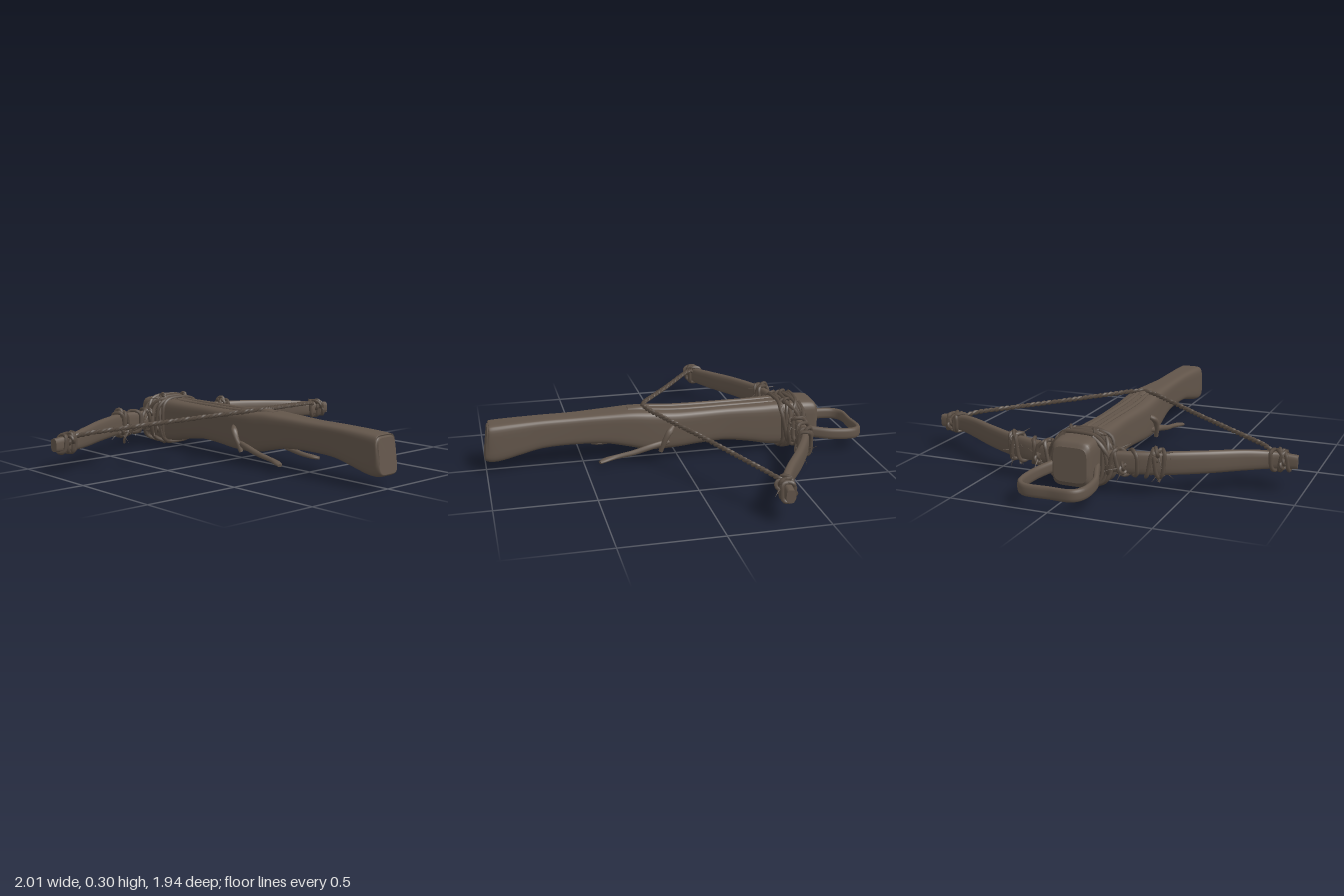
import * as THREE from 'three';
import { mergeGeometries } from 'three/addons/utils/BufferGeometryUtils.js';

const V = (x, y, z) => new THREE.Vector3(x, y, z);
const UP = V(0, 1, 0);

// Sweep a rounded-box section along stations [x, y, z, halfWidth, halfHeight]
function sweep(stations, { power = 1, steps = 48, sides = 16, closed = false } = {}) {
  const path = new THREE.CatmullRomCurve3(stations.map(s => V(s[0], s[1], s[2])), closed);
  const size = new THREE.CatmullRomCurve3(stations.map(s => V(s[3], s[4], 0)), closed, 'catmullrom', 0.5);
  const pos = [], idx = [];
  const curl = v => Math.sign(v) * Math.abs(v) ** power;
  for (let i = 0; i <= steps; i++) {
    const t = i / steps, p = path.getPoint(t), s = size.getPoint(t), T = path.getTangent(t);
    const side = T.clone().cross(UP).normalize(), up = side.clone().cross(T);
    for (let j = 0; j < sides; j++) {
      const a = (j + 0.5) / sides * Math.PI * 2;
      const q = p.clone().addScaledVector(side, s.x * curl(Math.cos(a))).addScaledVector(up, s.y * curl(Math.sin(a)));
      pos.push(q.x, q.y, q.z);
    }
  }
  for (let i = 0; i < steps; i++) for (let j = 0; j < sides; j++) {
    const k = (j + 1) % sides, a = i * sides + j, b = i * sides + k;
    idx.push(a, a + sides, b, b, a + sides, b + sides);
  }
  if (!closed) for (const end of [0, 1]) {
    const base = pos.length / 3, c = path.getPoint(end), from = end * steps * sides;
    for (let j = 0; j < sides; j++) pos.push(...pos.slice((from + j) * 3, (from + j) * 3 + 3));
    pos.push(c.x, c.y, c.z);
    for (let j = 0; j < sides; j++) {
      const k = (j + 1) % sides;
      idx.push(base + sides, base + (end ? k : j), base + (end ? j : k));
    }
  }
  const g = new THREE.BufferGeometry();
  g.setAttribute('position', new THREE.Float32BufferAttribute(pos, 3));
  g.setIndex(idx);
  g.computeVertexNormals();
  return g;
}

// Closed rope loop round a rounded-box section, skewed along its axis
function loop(center, axis, w, h, skew, r, phase = 0) {
  const side = axis.clone().cross(UP).normalize(), up = side.clone().cross(axis);
  const pts = [];
  for (let i = 0; i < 16; i++) {
    const a = i / 16 * Math.PI * 2, c = Math.cos(a), s = Math.sin(a);
    pts.push(center.clone().addScaledVector(side, w * Math.sign(c) * Math.abs(c) ** 0.55)
      .addScaledVector(up, h * Math.sign(s) * Math.abs(s) ** 0.55)
      .addScaledVector(axis, skew * Math.sin(a + phase)));
  }
  return new THREE.TubeGeometry(new THREE.CatmullRomCurve3(pts, true), 48, r, 6, true);
}

// Two strands twisted about a path
function twisted(points, r, turns) {
  const path = new THREE.CatmullRomCurve3(points, false, 'catmullrom', 0.1);
  return [0, Math.PI].map(ph => {
    const pts = [];
    for (let i = 0; i <= turns * 6; i++) {
      const t = i / (turns * 6), T = path.getTangentAt(t), a = t * turns * Math.PI * 2 + ph;
      const side = T.clone().cross(UP).normalize(), up = side.clone().cross(T);
      pts.push(path.getPointAt(t).addScaledVector(side, r * 0.7 * Math.cos(a)).addScaledVector(up, r * 0.7 * Math.sin(a)));
    }
    return new THREE.TubeGeometry(new THREE.CatmullRomCurve3(pts), turns * 10, r, 5);
  });
}

let seed = 7;
const rnd = () => (seed = (seed * 16807) % 2147483647) / 2147483647;

// Knot with frayed ends sticking out
function knot(c, size, frays) {
  const parts = [new THREE.TorusKnotGeometry(size, size * 0.45, 40, 6, 2, 3).translate(c.x, c.y, c.z)];
  for (let i = 0; i < frays; i++) {
    const len = 0.05 + rnd() * 0.045;
    const dir = V(rnd() - 0.5, rnd() * 0.9 - 0.6, rnd() - 0.5).normalize();
    const q = new THREE.Quaternion().setFromUnitVectors(UP, dir);
    parts.push(new THREE.ConeGeometry(0.006, len, 5).translate(0, len / 2, 0).applyQuaternion(q).translate(c.x, c.y, c.z));
  }
  return parts;
}

export function createModel() {
  const group = new THREE.Group();
  const wood = new THREE.MeshStandardMaterial({ color: 0x62554a });
  wood.name = 'weathered wood';
  const rope = new THREE.MeshStandardMaterial({ color: 0x574b41 });
  rope.name = 'dark rope';
  const add = (name, geo, mat) => {
    const m = new THREE.Mesh(Array.isArray(geo) ? mergeGeometries(geo) : geo, mat);
    m.name = name;
    group.add(m);
  };

  // Stock: [x, bottom, top, half width]
  const profile = [
    [-0.76, 0.065, 0.235, 0.085], [-0.74, 0.04, 0.26, 0.1], [-0.66, 0.03, 0.268, 0.105], [-0.5, 0.035, 0.265, 0.098],
    [-0.4, 0.055, 0.262, 0.092], [-0.25, 0.075, 0.26, 0.085], [-0.1, 0.07, 0.26, 0.09], [0.02, 0.06, 0.262, 0.094],
    [0.15, 0.06, 0.272, 0.094], [0.25, 0.082, 0.277, 0.086], [0.38, 0.108, 0.272, 0.074], [0.55, 0.115, 0.266, 0.064],
    [0.72, 0.108, 0.265, 0.064], [0.85, 0.08, 0.262, 0.069], [0.94, 0.06, 0.258, 0.072], [0.98, 0.06, 0.253, 0.07],
    [0.995, 0.075, 0.242, 0.06]];
  add('stock', sweep(profile.map(([x, b, t, w]) => [x, (b + t) / 2, 0, w, (t - b) / 2]),
    { power: 0.38, steps: 96, sides: 32 }), wood);

  // Bolt rails and string catch on the top
  add('boltRails', [-1, 1].map(s => sweep([[-0.54, 0.263, s * 0.03, 0.012, 0.006], [-0.3, 0.261, s * 0.028, 0.014, 0.009],
    [0, 0.262, s * 0.03, 0.014, 0.009], [0.17, 0.273, s * 0.026, 0.011, 0.008]], { steps: 24, sides: 8 })), wood);
  add('stringCatch', sweep([[0.13, 0.265, 0, 0.02, 0.008], [0.18, 0.272, 0, 0.032, 0.015], [0.26, 0.275, 0, 0.022, 0.006]],
    { steps: 16, sides: 10 }), wood);

  // Foot stirrup: flat bent bar
  const bar = [[-0.66, 0.115, -0.1], [-0.73, 0.108, -0.135], [-0.82, 0.1, -0.163], [-0.94, 0.094, -0.163], [-0.982, 0.091, -0.125],
    [-0.984, 0.09, 0], [-0.982, 0.091, 0.115], [-0.94, 0.094, 0.152], [-0.82, 0.1, 0.154], [-0.74, 0.108, 0.125], [-0.66, 0.115, 0.095]];
  add('stirrup', sweep(bar.map(p => [...p, 0.014, 0.03]), { power: 0.7, steps: 90, sides: 12 }), wood);

  for (const s of [1, -1]) {
    const label = s > 0 ? 'left' : 'right';

    // Bow limb
    const limb = [[-0.625, 0.15, 0, 0.026, 0.05], [-0.625, 0.15, 0.18, 0.025, 0.052], [-0.59, 0.152, 0.36, 0.022, 0.056],
      [-0.49, 0.152, 0.56, 0.022, 0.055], [-0.375, 0.15, 0.74, 0.022, 0.05], [-0.32, 0.147, 0.85, 0.022, 0.042],
      [-0.305, 0.145, 0.965, 0.021, 0.033]].map(([x, y, z, w, h]) => [x, y, z * s, w, h]);
    add(label + 'BowLimb', sweep(limb, { power: 0.65, steps: 60, sides: 16 }), wood);

    // Rope bindings on the limb: [x, z, half width, half height, skew]
    const curve = new THREE.CatmullRomCurve3(limb.map(p => V(p[0], p[1], p[2])));
    const wraps = [];
    for (const [t, w, h, skew] of [[0.12, 0.034, 0.062, 0.02], [0.15, 0.036, 0.062, -0.02], [0.19, 0.034, 0.06, 0.03],
      [0.24, 0.032, 0.06, -0.025], [0.31, 0.031, 0.064, 0.018], [0.335, 0.033, 0.066, -0.015], [0.355, 0.031, 0.064, 0.012],
      [0.84, 0.029, 0.048, 0.02], [0.87, 0.03, 0.046, -0.02], [0.9, 0.03, 0.044, 0.014], [0.93, 0.03, 0.042, -0.012]])
      wraps.push(loop(curve.getPoint(t), curve.getTangent(t), w, h, skew, 0.01, t * 20));
    add(label + 'LimbBindings', wraps, rope);
    add(label + 'LimbKnots', [
      ...knot(V(-0.595, 0.2, s * 0.37), 0.022, 9), ...knot(V(-0.57, 0.12, s * 0.385), 0.02, 9),
      ...knot(V(-0.645, 0.13, s * 0.22), 0.018, 5), ...knot(V(-0.6, 0.19, s * 0.16), 0.016, 3),
      ...knot(V(-0.29, 0.17, s * 0.88), 0.02, 1), ...knot(V(-0.33, 0.14, s * 0.9), 0.018, 1)], rope);

    // Hanging loose cord beside the binding
    add(label + 'LooseCord', new THREE.TubeGeometry(new THREE.CatmullRomCurve3([V(-0.56, 0.15, s * 0.34),
      V(-0.545, 0.11, s * 0.35), V(-0.55, 0.075, s * 0.37), V(-0.56, 0.05, s * 0.365)]), 16, 0.007, 5), rope);

    // Trigger lever: bent pivot arm and long handle
    add(label + 'TriggerLever', [
      sweep([[0.035, 0.185, s * 0.088, 0.012, 0.012], [0.06, 0.165, s * 0.108, 0.018, 0.015], [0.085, 0.12, s * 0.112, 0.014, 0.014],
        [0.105, 0.06, s * 0.1, 0.012, 0.012]], { steps: 24, sides: 10 }),
      sweep([[0.06, 0.105, s * 0.085, 0.012, 0.014], [0.15, 0.094, s * 0.108, 0.014, 0.016], [0.25, 0.07, s * 0.112, 0.014, 0.014],
        [0.34, 0.055, s * 0.112, 0.013, 0.012], [0.4, 0.048, s * 0.125, 0.019, 0.011], [0.432, 0.043, s * 0.14, 0.012, 0.008]],
      { steps: 36, sides: 10 })], wood);
  }

  // Bowstring drawn back to the catch
  add('bowstring', twisted([V(-0.32, 0.17, -0.87), V(-0.25, 0.195, -0.78), V(-0.04, 0.24, -0.4), V(0.15, 0.278, -0.08),
    V(0.18, 0.284, 0), V(0.15, 0.278, 0.08), V(-0.04, 0.24, 0.4), V(-0.25, 0.195, 0.78), V(-0.32, 0.17, 0.87)], 0.008, 36), rope);

  // Lashing that ties the bow to the stock
  const lashing = [];
  for (const [x, w, h, skew, phase] of [[-0.65, 0.117, 0.126, 0.015, 0], [-0.63, 0.12, 0.128, 0.03, 1.2], [-0.61, 0.13, 0.13, -0.04, 0.5],
    [-0.59, 0.118, 0.128, 0.045, 2.2], [-0.57, 0.114, 0.126, -0.02, 0], [-0.55, 0.112, 0.124, 0.012, 1],
    [-0.605, 0.14, 0.122, 0.06, 0.8], [-0.6, 0.14, 0.122, -0.06, 2.4]])
    lashing.push(loop(V(x, 0.147, 0), V(1, 0, 0), w, h, skew, 0.01, phase));
  // Slack turns sagging round the bow roots
  for (const s of [1, -1]) for (const x of [-0.655, -0.585])
    lashing.push(new THREE.TubeGeometry(new THREE.CatmullRomCurve3([V(x, 0.265, s * 0.07), V(x - 0.01, 0.22, s * 0.125),
      V(x + 0.01, 0.13, s * 0.16), V(x, 0.06, s * 0.14), V(x + 0.02, 0.022, s * 0.07)]), 24, 0.011, 6));
  lashing.push(...knot(V(-0.6, 0.035, 0.05), 0.018, 0), ...knot(V(-0.6, 0.265, 0.06), 0.018, 1),
    ...knot(V(-0.58, 0.262, -0.07), 0.018, 1), ...knot(V(-0.6, 0.1, 0.125), 0.02, 1), ...knot(V(-0.6, 0.1, -0.125), 0.02, 1));
  add('stockLashing', lashing, rope);

  return group;
}
